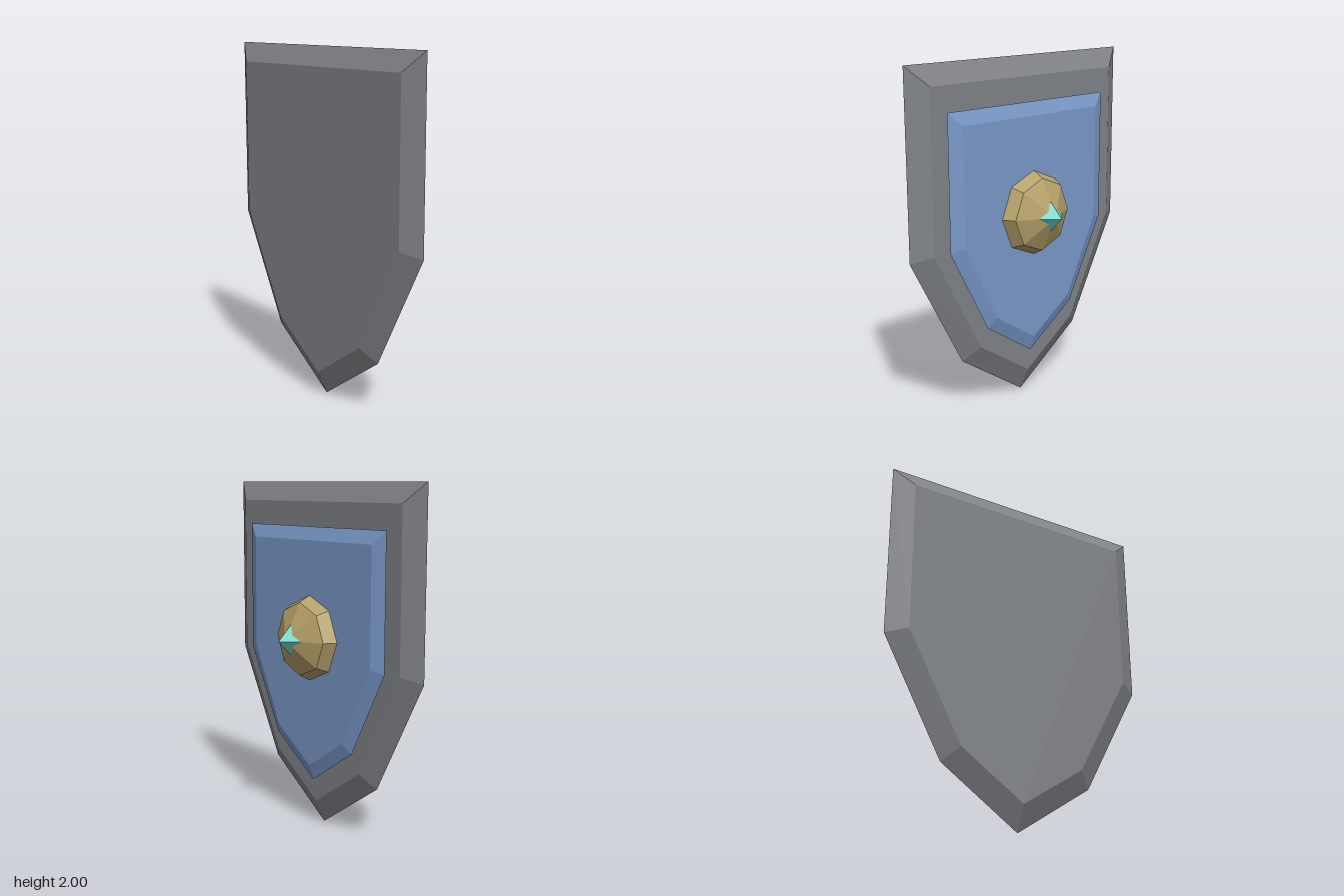
import * as THREE from 'three';

const paint = (name, color) => {
  const m = new THREE.MeshStandardMaterial({ color });
  m.name = name;
  return m;
};

// Mirror a half outline [across, y] (tip first, going up) into a full counterclockwise loop
const mirrorLoop = (half) => [
  ...half,
  ...half.slice(1).reverse().map(([a, y]) => [-a, y]),
];

// Bevelled plate: the same outline at several depths, with flat faces and closed ends
function bevelledPlate(sections) {
  const rings = sections.map(([depth, half]) =>
    mirrorLoop(half).map(([a, y]) => [depth, y, -a]));
  const pos = [];
  const tri = (a, b, c) => pos.push(...a, ...b, ...c);
  const n = rings[0].length;
  for (let r = 0; r < rings.length - 1; r++) {
    const low = rings[r], high = rings[r + 1];
    for (let i = 0; i < n; i++) {
      const j = (i + 1) % n;
      tri(low[i], low[j], high[j]);
      tri(low[i], high[j], high[i]);
    }
  }
  const back = rings[0], front = rings[rings.length - 1];
  for (let i = 1; i < n - 1; i++) {
    tri(back[0], back[i + 1], back[i]);
    tri(front[0], front[i], front[i + 1]);
  }
  const g = new THREE.BufferGeometry();
  g.setAttribute('position', new THREE.Float32BufferAttribute(pos, 3));
  g.computeVertexNormals();
  return g;
}

export function createModel() {
  const group = new THREE.Group();
  group.name = 'shield';
  const add = (name, geometry, material, x = 0, y = 0) => {
    const mesh = new THREE.Mesh(geometry, material);
    mesh.name = name;
    mesh.position.set(x, y, 0);
    group.add(mesh);
  };

  // Grey body, bevelled on both sides
  const bodyEdge = [[0, 0], [0.46, 0.31], [0.81, 0.96], [0.81, 2]];
  const bodyFace = [[0, 0.14], [0.375, 0.39], [0.695, 0.99], [0.695, 1.89]];
  add('body', bevelledPlate([[-0.2, bodyFace], [-0.135, bodyEdge], [-0.07, bodyFace]]),
    paint('grey steel', 0x808388));

  // Blue raised panel, its back sunk into the body
  const panelEdge = [[0, 0.275], [0.34, 0.5], [0.6, 0.99], [0.6, 1.75]];
  const panelFace = [[0, 0.365], [0.29, 0.555], [0.52, 1.01], [0.52, 1.675]];
  add('panel', bevelledPlate([[-0.08, panelFace], [-0.05, panelEdge], [-0.02, panelFace]]),
    paint('blue', 0x7a99ca));

  // Eight-sided boss
  const profile = [[0.245, -0.03], [0.245, -0.02], [0.21, 0.05], [0, 0.155]]
    .map(([r, d]) => new THREE.Vector2(r, d));
  const boss = new THREE.LatheGeometry(profile, 8).rotateZ(-Math.PI / 2).toNonIndexed();
  boss.computeVertexNormals();
  add('boss', boss, paint('gold', 0xb5a068), 0, 1.12);

  // Gem at the tip of the boss
  add('gem', new THREE.OctahedronGeometry(0.085), paint('teal', 0x6cd0c6), 0.115, 1.12);

  return group;
}
